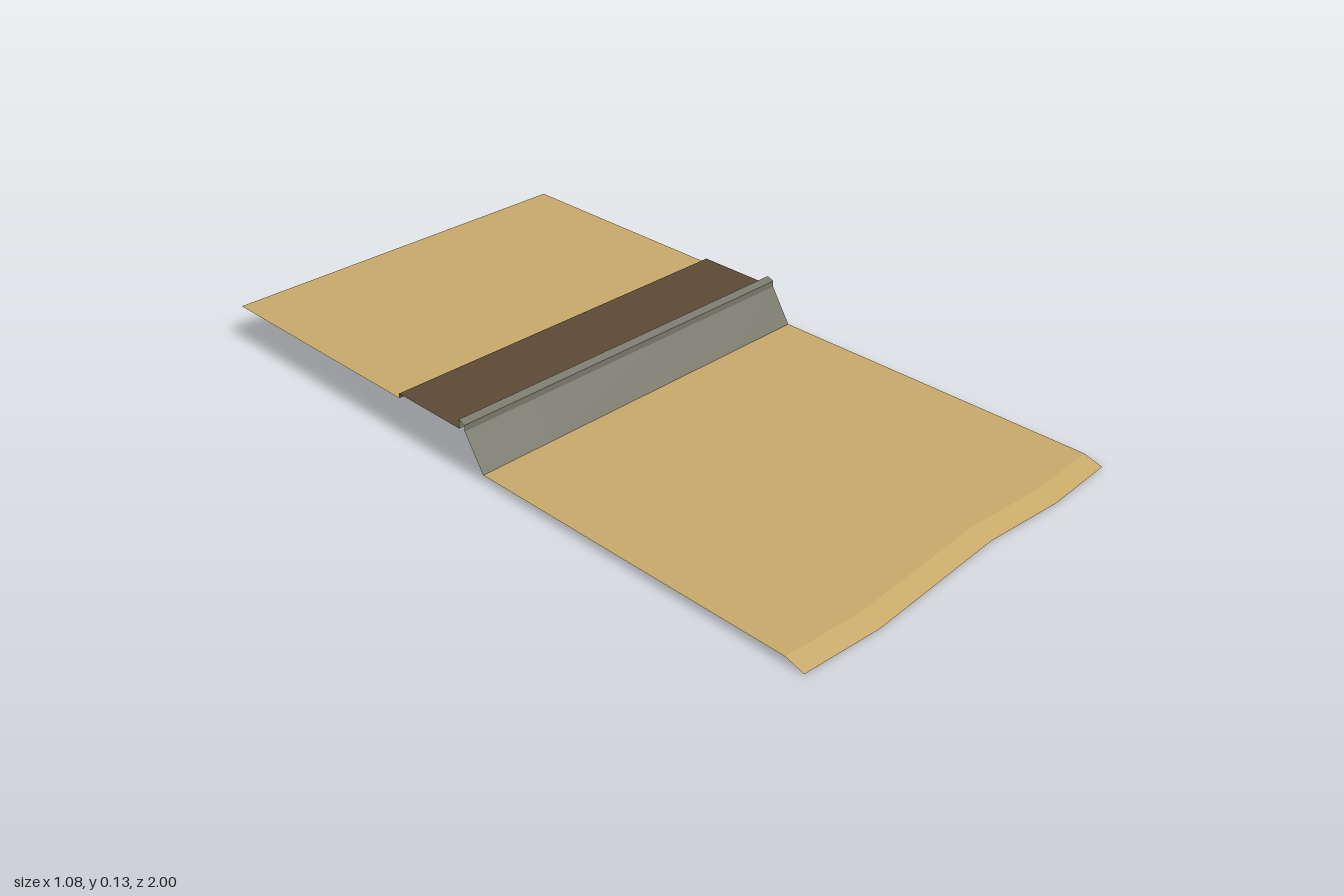
import * as THREE from 'three';

const HALF = 0.54;
// x stations and the wave of the front edge at each of them
const XS = [-HALF, -0.32, 0.1, 0.33, HALF];
const WAVE = [-0.015, 0, -0.022, -0.005, -0.015];

const mat = (name, color) => {
  const m = new THREE.MeshStandardMaterial({ color, side: THREE.DoubleSide });
  m.name = name;
  return m;
};

// Open sheet swept across x. Profile points are [z, y, wavy], listed front to back.
function sheet(name, material, profile) {
  const pos = [];
  const at = (i, [z, y, wavy]) => [XS[i], y, z + (wavy ? WAVE[i] : 0)];
  for (let p = 0; p < profile.length - 1; p++) {
    for (let i = 0; i < XS.length - 1; i++) {
      const a = at(i, profile[p]), b = at(i + 1, profile[p]);
      const c = at(i + 1, profile[p + 1]), d = at(i, profile[p + 1]);
      pos.push(...a, ...b, ...c, ...a, ...c, ...d);
    }
  }
  const geo = new THREE.BufferGeometry();
  geo.setAttribute('position', new THREE.Float32BufferAttribute(pos, 3));
  geo.computeVertexNormals();
  const mesh = new THREE.Mesh(geo, material);
  mesh.name = name;
  return mesh;
}

export function createModel() {
  const sand = mat('sand', 0xc8a96a);
  const soil = mat('brown soil', 0x5c4a36);
  const stone = mat('grey stone', 0x77776a);

  const model = new THREE.Group();
  model.name = 'beachSeawall';
  model.add(
    // lower beach with a wavy edge dipping at the front
    sheet('lowerBeach', sand, [[1, 0, true], [0.949, 0.015, true], [0, 0.015]]),
    // leaning wall
    sheet('wall', stone, [[0, 0.015], [-0.06, 0.108]]),
    // raised coping along the top of the wall
    sheet('coping', stone, [[-0.06, 0.108], [-0.06, 0.125], [-0.08, 0.133], [-0.08, 0.108]]),
    // brown strip behind the wall, with a small step down
    sheet('soilStrip', soil, [[-0.08, 0.108], [-0.31, 0.108], [-0.31, 0.095]]),
    // upper ground at the back
    sheet('upperGround', sand, [[-0.31, 0.095], [-1, 0.095]])
  );
  return model;
}
